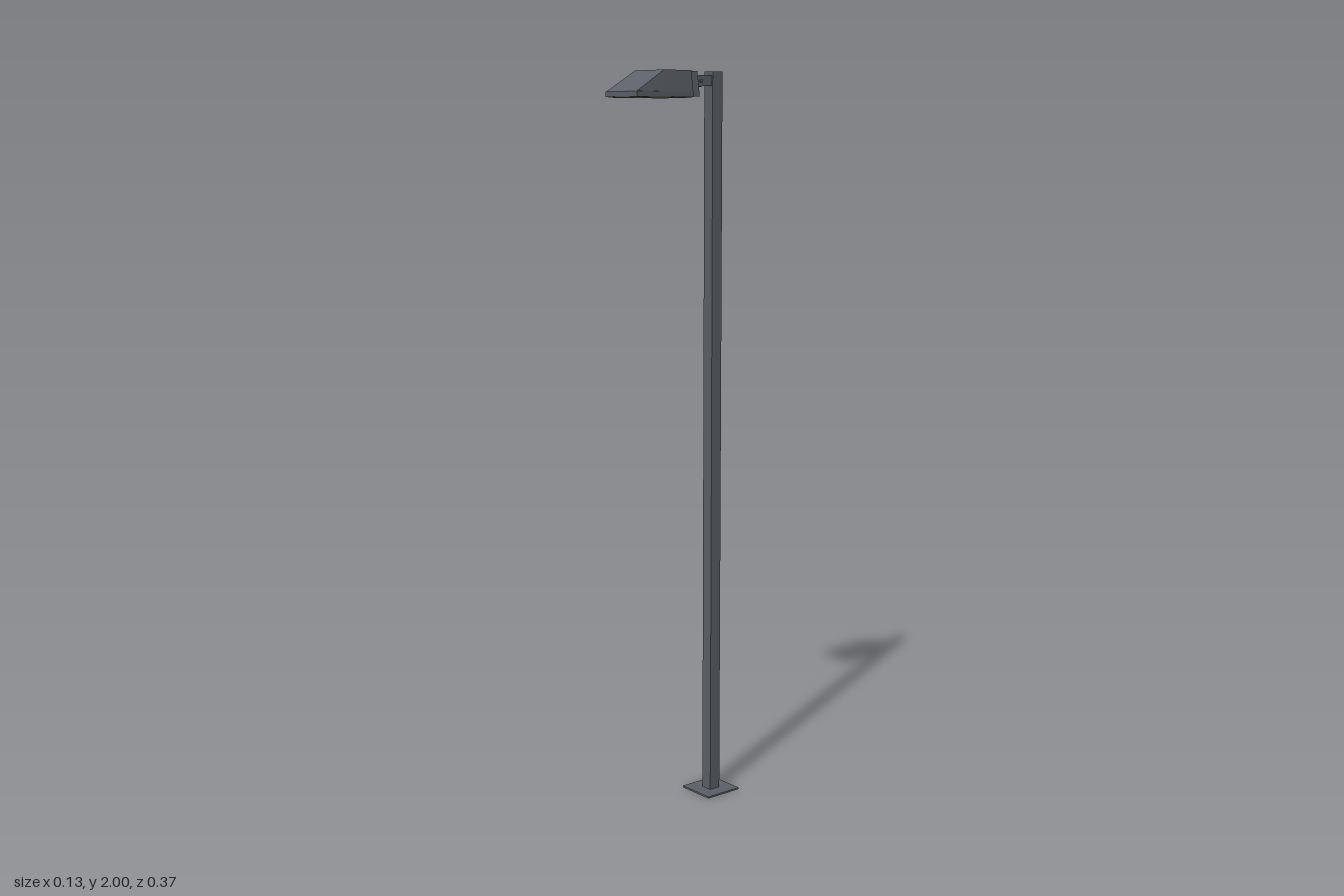
import * as THREE from 'three';

const metal = new THREE.MeshStandardMaterial({ color: 0x5c6167, flatShading: true });
const lensMaterial = new THREE.MeshStandardMaterial({ color: 0x8b8d7c, flatShading: true });

// Box given by its minimum and maximum corners
function box(name, [x0, y0, z0], [x1, y1, z1], material = metal) {
  const mesh = new THREE.Mesh(new THREE.BoxGeometry(x1 - x0, y1 - y0, z1 - z0), material);
  mesh.position.set((x0 + x1) / 2, (y0 + y1) / 2, (z0 + z1) / 2);
  mesh.name = name;
  return mesh;
}

// Lofts trapezoid sections from back to front
function loft(name, sections) {
  const positions = [];
  const index = [];
  for (const { zBottom, zTop, yBottom, yTop, bottom, top } of sections) {
    positions.push(-bottom, yBottom, zBottom, bottom, yBottom, zBottom, top, yTop, zTop, -top, yTop, zTop);
  }
  for (let s = 0; s < sections.length - 1; s++) {
    for (let i = 0; i < 4; i++) {
      const a = s * 4 + i, b = s * 4 + (i + 1) % 4;
      index.push(a, b, b + 4, a, b + 4, a + 4);
    }
  }
  const e = (sections.length - 1) * 4;
  index.push(0, 2, 1, 0, 3, 2, e, e + 1, e + 2, e, e + 2, e + 3);
  const geometry = new THREE.BufferGeometry();
  geometry.setAttribute('position', new THREE.Float32BufferAttribute(positions, 3));
  geometry.setIndex(index);
  const flat = geometry.toNonIndexed();
  flat.computeVertexNormals();
  const mesh = new THREE.Mesh(flat, metal);
  mesh.name = name;
  return mesh;
}

export function createModel() {
  const model = new THREE.Group();
  model.name = 'streetLight';

  // Square post on a thin foot plate
  model.add(box('basePlate', [-0.056, 0, -0.184], [0.056, 0.005, -0.071]));
  model.add(box('pole', [-0.017, 0.005, -0.145], [0.017, 2, -0.111]));

  // Bracket: a flat tongue from the post into a knuckle behind the lamp
  const bracket = new THREE.Group();
  bracket.name = 'bracket';
  bracket.add(box('tongue', [0, 1.962, -0.111], [0.013, 1.99, -0.07]));
  bracket.add(box('knucklePlate', [-0.012, 1.962, -0.086], [0, 1.99, -0.07]));
  bracket.add(box('arm', [-0.014, 1.96, -0.078], [0.014, 1.99, -0.034]));
  for (const side of [-1, 1]) {
    const bolt = new THREE.Mesh(new THREE.CylinderGeometry(0.005, 0.005, 0.004, 6), metal);
    bolt.name = 'bolt';
    bolt.rotation.z = Math.PI / 2;
    bolt.position.set(side * 0.015, 1.975, -0.073);
    bracket.add(bolt);
  }
  model.add(bracket);

  // Lamp head: narrow rear housing, sloping hood, rim and lens
  const head = new THREE.Group();
  head.name = 'lampHead';
  head.add(loft('rearHousing', [
    { zBottom: -0.038, zTop: -0.034, yBottom: 1.934, yTop: 1.999, bottom: 0.05, top: 0.045 },
    { zBottom: 0, zTop: 0, yBottom: 1.934, yTop: 1.999, bottom: 0.05, top: 0.045 },
  ]));
  head.add(loft('hood', [
    { zBottom: -0.004, zTop: -0.001, yBottom: 1.945, yTop: 2, bottom: 0.064, top: 0.06 },
    { zBottom: 0.09, zTop: 0.09, yBottom: 1.945, yTop: 2, bottom: 0.064, top: 0.06 },
    { zBottom: 0.182, zTop: 0.181, yBottom: 1.945, yTop: 1.946, bottom: 0.064, top: 0.063 },
  ]));
  head.add(box('rim', [-0.065, 1.932, -0.005], [0.065, 1.945, 0.183]));
  head.add(box('lens', [-0.061, 1.93, 0], [0.061, 1.933, 0.178], lensMaterial));
  model.add(head);

  return model;
}
